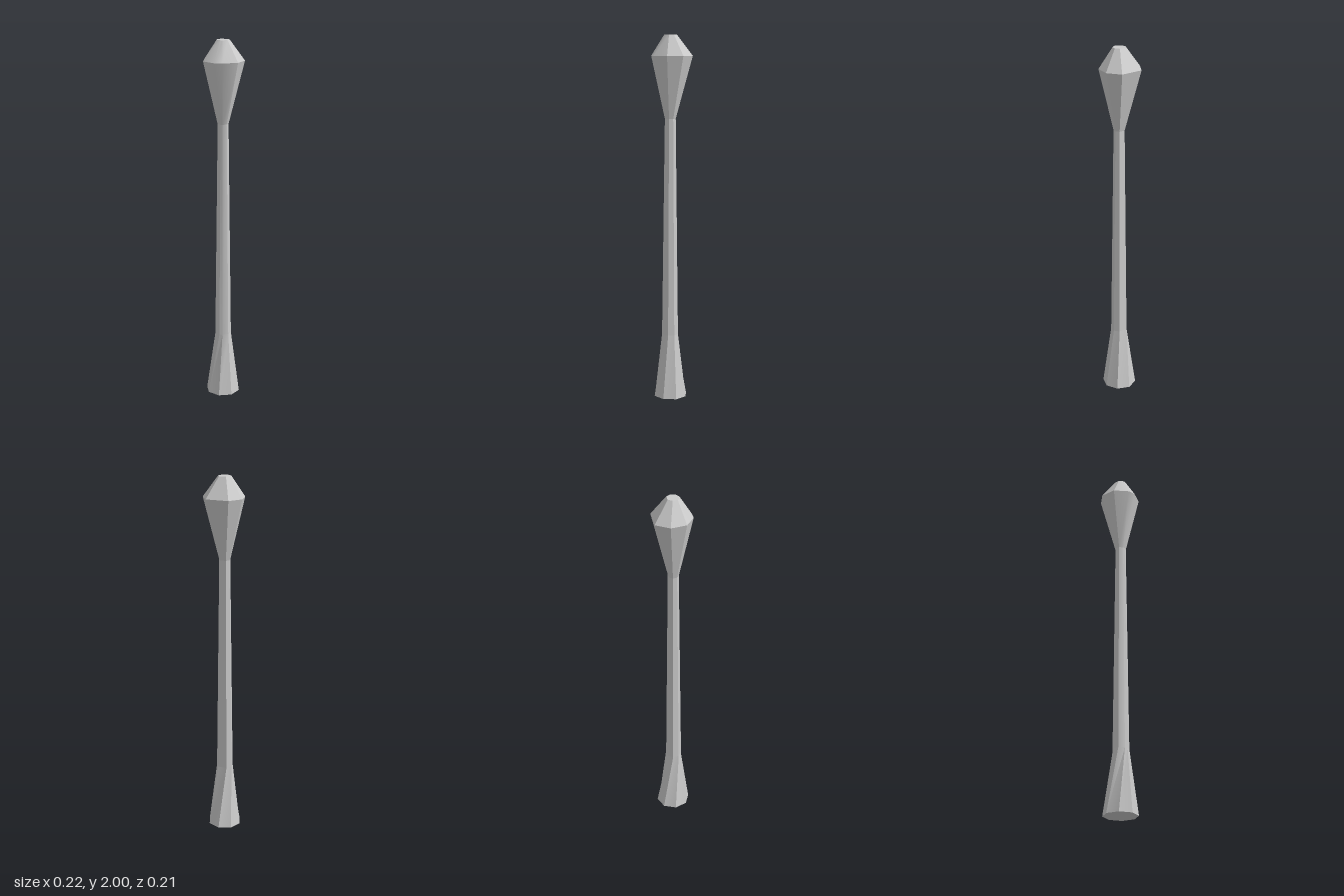
import * as THREE from 'three';
import { toCreasedNormals } from 'three/addons/utils/BufferGeometryUtils.js';

// Eight-sided head outline [x, z], counter-clockwise seen from above
const half = [[0.022, 0.101], [0.094, 0.053], [0.111, -0.032], [0.063, -0.104]];
const outline = [...half, ...half.slice().reverse().map(([x, z]) => [-x, z])];

// Scaled copy of the outline at height y, shifted along z
const ring = (y, scale, dz = 0) =>
  outline.map(([x, z]) => new THREE.Vector3(x * scale, y, z * scale + dz));

// Regular octagon with corners on the axes, used for the foot
const octagon = (y, r) => outline.map((_, i) => {
  const a = i * Math.PI / 4;
  return new THREE.Vector3(Math.sin(a) * r, y, Math.cos(a) * r);
});

const material = new THREE.MeshStandardMaterial({ color: 0xcccccc });

// Skin between successive rings, with optional flat end caps
function loft(name, rings, capBottom = false, capTop = false) {
  const pos = [];
  const tri = (...pts) => pts.forEach((p) => pos.push(p.x, p.y, p.z));
  const n = outline.length;
  for (let k = 0; k + 1 < rings.length; k++) {
    const lo = rings[k], hi = rings[k + 1];
    for (let i = 0; i < n; i++) {
      const j = (i + 1) % n;
      tri(lo[i], lo[j], hi[j]);
      tri(lo[i], hi[j], hi[i]);
    }
  }
  const first = rings[0], last = rings[rings.length - 1];
  for (let i = 1; i + 1 < n; i++) {
    if (capBottom) tri(first[0], first[i + 1], first[i]);
    if (capTop) tri(last[0], last[i], last[i + 1]);
  }
  const geometry = new THREE.BufferGeometry();
  geometry.setAttribute('position', new THREE.Float32BufferAttribute(pos, 3));
  const mesh = new THREE.Mesh(toCreasedNormals(geometry, THREE.MathUtils.degToRad(35)), material);
  mesh.name = name;
  return mesh;
}

export function createModel() {
  const group = new THREE.Group();
  group.name = 'club';

  const foot = octagon(0, 0.094);
  const shaftBottom = ring(0.355, 0.4, 0.006);
  const shaftTop = ring(1.555, 0.265, 0.003);
  const headWidest = ring(1.89, 1);
  const headTop = ring(2, 0.31, 0.002);

  group.add(
    loft('flaredFoot', [foot, shaftBottom], true),
    loft('shaft', [shaftBottom, shaftTop]),
    loft('head', [shaftTop, headWidest, headTop], false, true),
  );
  return group;
}
